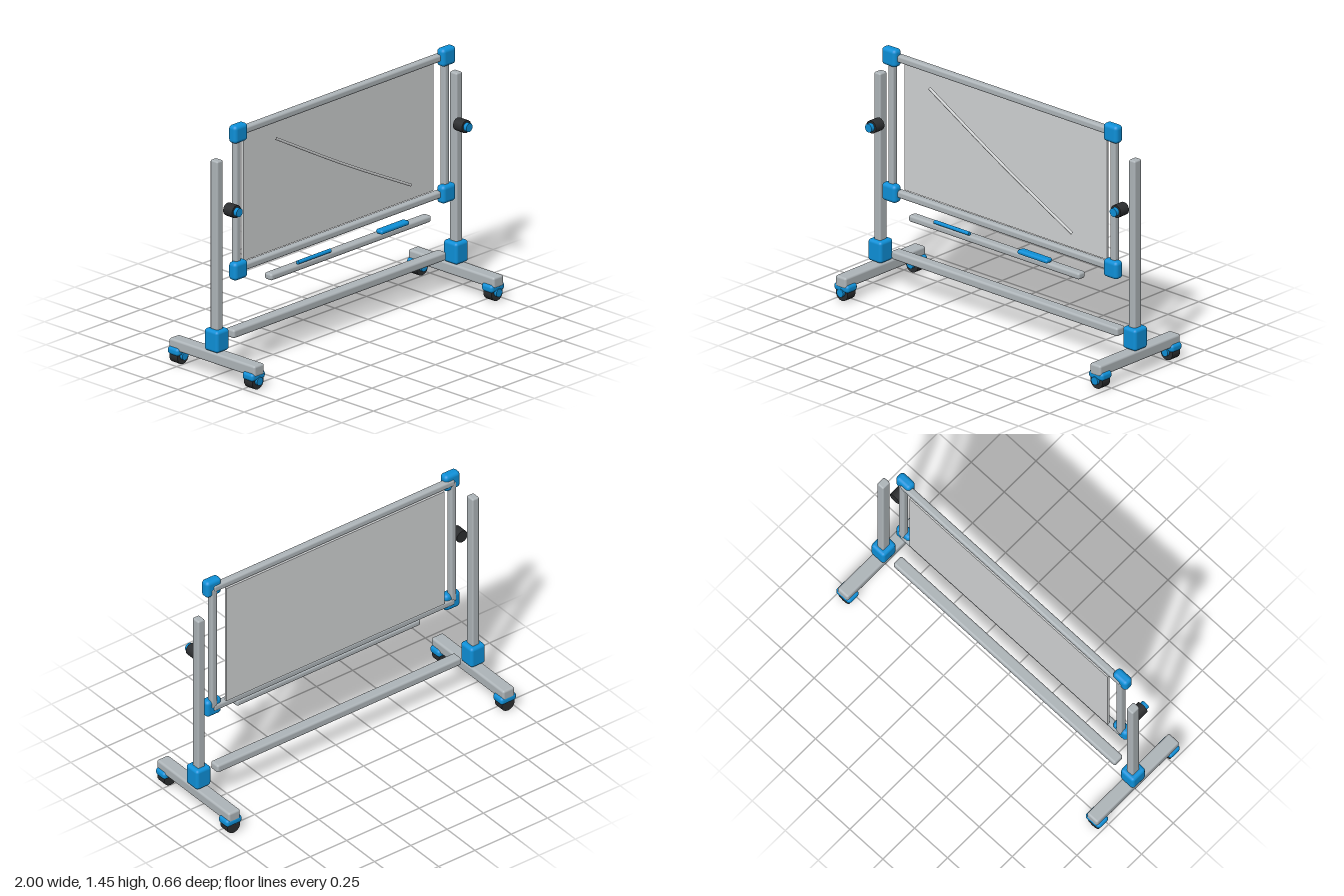
import * as THREE from 'three';
import { RoundedBoxGeometry } from 'three/addons/geometries/RoundedBoxGeometry.js';

const paint = (name, color) => {
  const m = new THREE.MeshStandardMaterial({ color });
  m.name = name;
  return m;
};

export function createModel() {
  const model = new THREE.Group();
  model.name = 'rollingWhiteboard';
  const metal = paint('brushed metal', 0xaeb5b9);
  const board = paint('board grey', 0xd0d2d3);
  const blue = paint('blue plastic', 0x0e90d8);
  const black = paint('black rubber', 0x2c2e30);

  const add = (name, geometry, material, x, y, z) => {
    const mesh = new THREE.Mesh(geometry, material);
    mesh.name = name;
    mesh.position.set(x, y, z);
    model.add(mesh);
    return mesh;
  };
  // Rounded bar given by centre and size
  const bar = (name, mat, [x, y, z], [w, h, d], r) =>
    add(name, new RoundedBoxGeometry(w, h, d, 3, r), mat, x, y, z);
  // Cylinder whose axis runs front to back
  const disc = (name, mat, x, y, z, r, depth) =>
    add(name, new THREE.CylinderGeometry(r, r, depth, 14).rotateX(Math.PI / 2), mat, x, y, z);

  for (const s of [-1, 1]) {
    const side = s > 0 ? 'left' : 'right';
    const x = s * 0.945;

    // Stand: foot, socket and post
    bar(side + 'Foot', metal, [x, 0.113, 0], [0.08, 0.065, 0.65], 0.013);
    bar(side + 'Socket', blue, [x, 0.213, 0], [0.1, 0.127, 0.104], 0.018);
    bar(side + 'Post', metal, [x, 0.73, 0], [0.047, 1.06, 0.056], 0.01);

    // Casters
    for (const z of [-0.285, 0.281]) {
      bar(side + 'CasterHousing', blue, [x, 0.078, z], [0.108, 0.046, 0.084], 0.018);
      disc(side + 'CasterWheel', black, x, 0.045, z, 0.045, 0.062);
      disc(side + 'CasterHub', blue, x, 0.05, z + 0.038, 0.024, 0.02);
    }

    // Clamp knob
    disc(side + 'Knob', black, s * 0.908, 0.976, 0.082, 0.037, 0.067);
    disc(side + 'KnobCap', blue, s * 0.908, 0.976, 0.126, 0.025, 0.024);

    // Frame upright and corners
    bar(side + 'FrameUpright', metal, [s * 0.824, 0.997, 0.032], [0.04, 0.8, 0.042], 0.012);
    for (const y of [0.597, 1.397])
      bar(side + 'FrameCorner', blue, [s * 0.822, y, 0.045], [0.105, 0.105, 0.06], 0.022);
  }

  // Frame rails and writing panel
  for (const y of [0.597, 1.395])
    bar('frameRail', metal, [0, y, 0.03], [1.66, 0.042, 0.044], 0.013);
  add('panel', new THREE.BoxGeometry(1.5, 0.755, 0.014), board, 0, 0.997, 0.009);

  // Slim diagonal streak in front of the panel
  const path = new THREE.CatmullRomCurve3([
    new THREE.Vector3(-0.535, 1.287, 0.05),
    new THREE.Vector3(0, 0.992, 0.053),
    new THREE.Vector3(0.53, 0.723, 0.055),
  ]);
  add('streak', new THREE.TubeGeometry(path, 12, 0.009, 6), board, 0, 0, 0);

  // Lower crossbar
  bar('crossbar', metal, [0, 0.216, -0.002], [1.68, 0.05, 0.066], 0.013);

  // Tray with a pen and an eraser
  bar('tray', metal, [0, 0.514, 0.088], [1.267, 0.04, 0.056], 0.014);
  add('pen', new THREE.CylinderGeometry(0.011, 0.011, 0.258, 12).rotateZ(Math.PI / 2),
    blue, -0.302, 0.55, 0.12);
  bar('eraser', blue, [0.315, 0.555, 0.125], [0.222, 0.026, 0.05], 0.012);

  return model;
}
